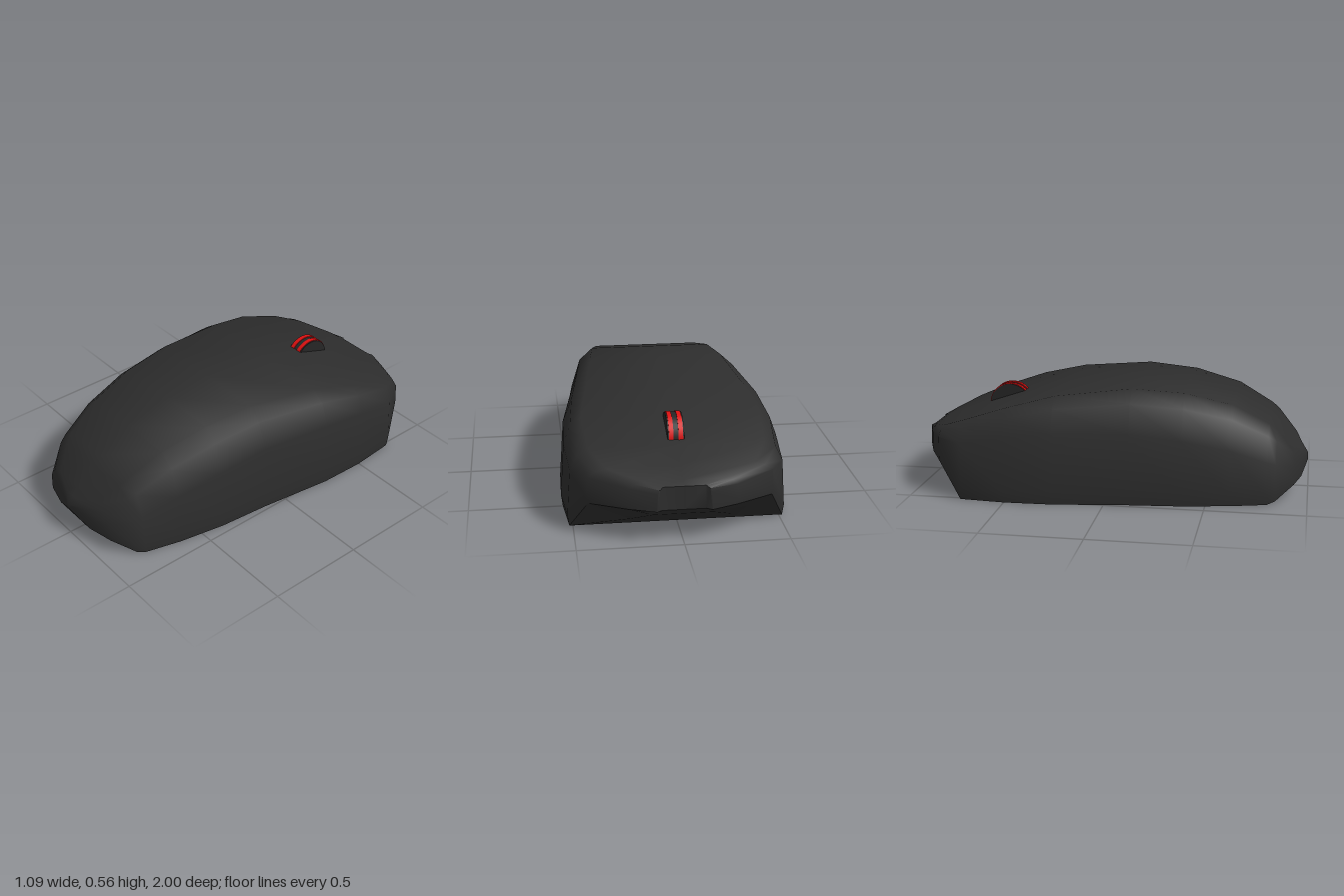
import * as THREE from 'three';
import { toCreasedNormals } from 'three/addons/utils/BufferGeometryUtils.js';

// Stations from the narrow front to the wide rear:
// z, top height, half-width of the flat top, widest half-width, base corner height, base centre height
const STATIONS = [
  [0.995, 0.18, 0.01, 0.02, 0.15, 0.15],
  [0.965, 0.215, 0.06, 0.13, 0.09, 0.09],
  [0.93, 0.255, 0.16, 0.26, 0.08, 0.055],
  [0.84, 0.355, 0.22, 0.35, 0.015, 0.01],
  [0.8, 0.387, 0.24, 0.365, 0, 0],
  [0.62, 0.485, 0.28, 0.415, 0, 0],
  [0.38, 0.545, 0.32, 0.46, 0, 0],
  [0.12, 0.565, 0.35, 0.485, 0, 0],
  [-0.26, 0.525, 0.4, 0.538, 0, 0],
  [-0.5, 0.465, 0.44, 0.545, 0, 0],
  [-0.73, 0.388, 0.42, 0.525, 0, 0],
  [-0.86, 0.338, 0.35, 0.44, 0.17, 0.08],
  [-0.95, 0.302, 0.19, 0.26, 0.17, 0.135],
  [-1, 0.285, 0.1, 0.13, 0.17, 0.17],
];
const HALF = 8;
const RING = 2 * HALF - 2;

// Full closed ring of points for one station; the last one has a shallow notch
function makeRing([z, top, flat, wide, corner, centre], index) {
  const last = index === STATIONS.length - 1;
  const zIn = last ? z + 0.018 : z;
  const rise = top - corner;
  // The sides lean inwards, and their upper edge climbs towards the rear
  const sideX = wide - 0.04 * rise;
  const sideY = corner + rise * (0.65 - 0.12 * z);
  const shoulderX = THREE.MathUtils.lerp(flat, sideX, 0.6);
  const shoulderY = THREE.MathUtils.lerp(top, sideY, 0.3);
  const half = [
    [0, centre, zIn], [last ? flat : wide * 0.54, centre, zIn],
    [wide * 0.985, corner, z], [wide, corner + 0.13 * rise, z],
    [sideX, sideY, z], [shoulderX, shoulderY, z],
    [flat, top, zIn], [0, top, zIn],
  ];
  const mirrored = half.slice(1, -1).reverse().map(([x, y, w]) => [-x, y, w]);
  return [...half, ...mirrored];
}

function toGeometry(points, crease) {
  const geometry = new THREE.BufferGeometry();
  geometry.setAttribute('position', new THREE.Float32BufferAttribute(points.flat(), 3));
  return toCreasedNormals(geometry, crease);
}

// Quads between neighbouring rings, for ring columns from..to
function skin(rings, from, to) {
  const out = [];
  for (let s = 0; s < rings.length - 1; s++) {
    for (let i = from; i < to; i++) {
      const k = (i + RING) % RING, n = (i + 1 + RING) % RING;
      const a = rings[s][k], b = rings[s][n], c = rings[s + 1][n], d = rings[s + 1][k];
      out.push(a, d, b, b, d, c);
    }
  }
  return out;
}

// Closes one end with vertical columns of quads
function cap(ring, facesFront) {
  const out = [];
  for (const side of [1, -1]) {
    const p = (i) => ring[(side * i + RING) % RING];
    for (let i = 0; i < HALF / 2 - 1; i++) {
      const a = p(i), b = p(i + 1), c = p(HALF - 2 - i), d = p(HALF - 1 - i);
      if ((side > 0) === facesFront) out.push(a, b, c, a, c, d);
      else out.push(a, c, b, a, d, c);
    }
  }
  return out;
}

export function createModel() {
  const group = new THREE.Group();
  const shellMaterial = new THREE.MeshStandardMaterial({ color: 0x2d2d2d });
  shellMaterial.name = 'charcoal shell';
  const wheelMaterial = new THREE.MeshStandardMaterial({ color: 0x262626 });
  wheelMaterial.name = 'dark rubber';
  const redMaterial = new THREE.MeshStandardMaterial({ color: 0xdc1010 });
  redMaterial.name = 'red accent';

  const add = (parent, name, geometry, material) => {
    const mesh = new THREE.Mesh(geometry, material);
    mesh.name = name;
    parent.add(mesh);
    return mesh;
  };

  // Body: rounded upper shell with end walls, and a base with an undercut
  const rings = STATIONS.map(makeRing);
  const shell = [
    ...skin(rings, 2, RING - 2),
    ...cap(rings[0], true),
    ...cap(rings[rings.length - 1], false),
  ];
  add(group, 'upperShell', toGeometry(shell, 0.9), shellMaterial);
  add(group, 'base', toGeometry(skin(rings, -2, 2), 0.45), shellMaterial);

  // Scroll wheel with two raised red bands
  const wheel = new THREE.Group();
  wheel.name = 'scrollWheel';
  wheel.position.set(0, 0.39, -0.585);
  group.add(wheel);
  const disc = (radius, width) =>
    new THREE.CylinderGeometry(radius, radius, width, 32).rotateZ(Math.PI / 2);
  add(wheel, 'wheelCore', disc(0.107, 0.08), wheelMaterial);
  for (const side of [1, -1]) {
    add(wheel, 'wheelBand', disc(0.111, 0.022), redMaterial).position.x = side * 0.023;
  }
  return group;
}
